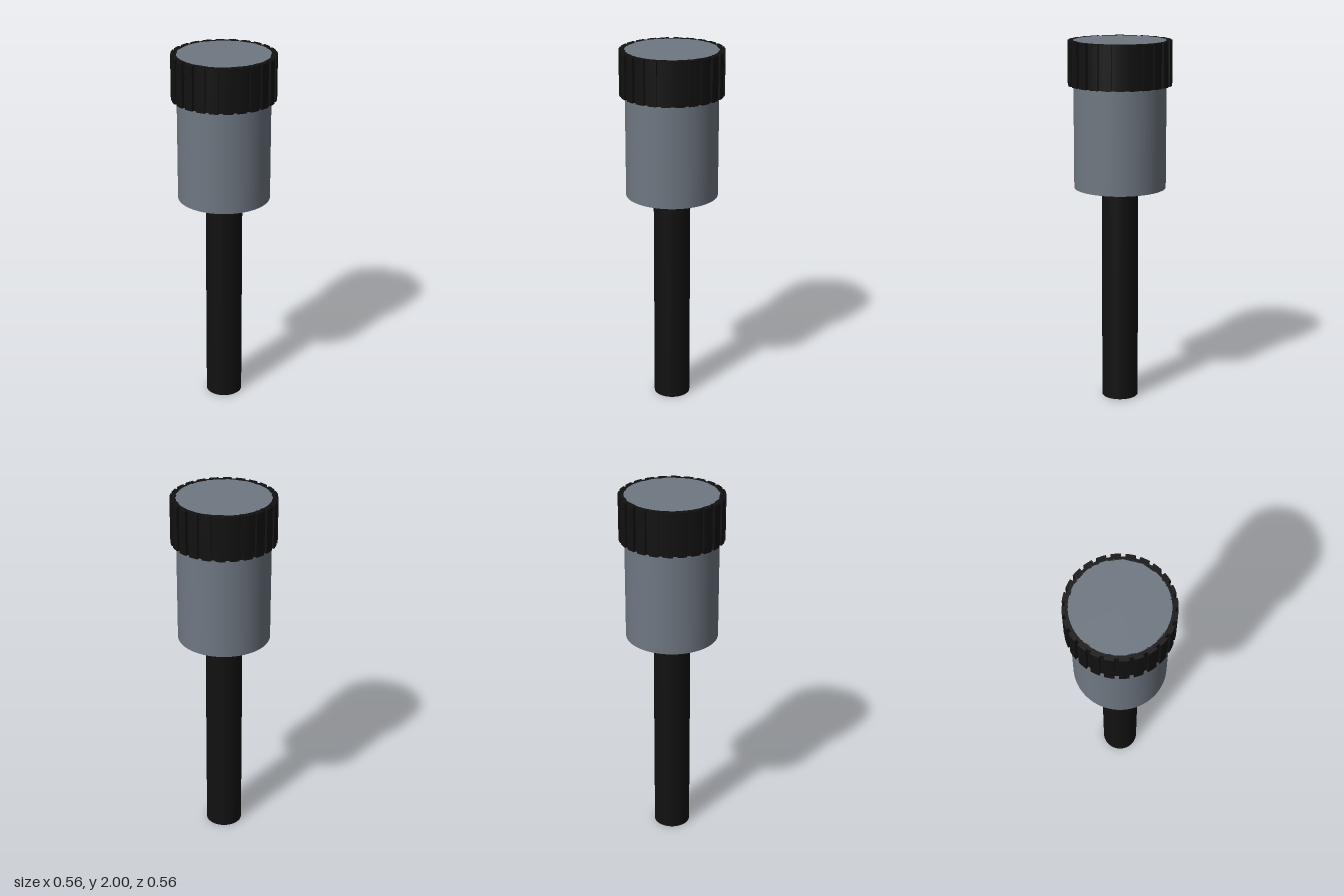
import * as THREE from 'three';

const TEETH = 24, OUTER = 0.28, ROOT = 0.265, BODY = 0.25, HALF_GAP = 0.0115;

// Grip outline: ring with parallel-sided notches
function gripShape() {
  const shape = new THREE.Shape();
  const pitch = (Math.PI * 2) / TEETH;
  const outerGap = Math.asin(HALF_GAP / OUTER);
  const rootGap = Math.asin(HALF_GAP / ROOT);
  for (let i = 0; i < TEETH; i++) {
    const a = i * pitch;
    shape.absarc(0, 0, ROOT, a - rootGap, a + rootGap, false);
    shape.absarc(0, 0, OUTER, a + outerGap, a + pitch - outerGap, false);
  }
  shape.closePath();
  shape.holes.push(new THREE.Path().absarc(0, 0, BODY, 0, Math.PI * 2, true));
  return shape;
}

export function createModel() {
  const group = new THREE.Group();
  const black = new THREE.MeshStandardMaterial({ color: 0x111111 });
  const grey = new THREE.MeshStandardMaterial({ color: 0x6e7781 });

  const add = (name, geometry, material, y) => {
    const mesh = new THREE.Mesh(geometry, material);
    mesh.name = name;
    mesh.position.y = y;
    group.add(mesh);
    return mesh;
  };

  // Shaft and cylindrical body
  add('shaft', new THREE.CylinderGeometry(0.1, 0.1, 1.2, 64), black, 0.6);
  add('body', new THREE.CylinderGeometry(BODY, BODY, 0.8, 96), grey, 1.6);

  // Notched grip ring around the top of the body
  const grip = new THREE.ExtrudeGeometry(gripShape(), { depth: 0.24, bevelEnabled: false, curveSegments: 8 });
  grip.rotateX(-Math.PI / 2);
  add('gripRing', grip, black, 1.76);

  return group;
}
